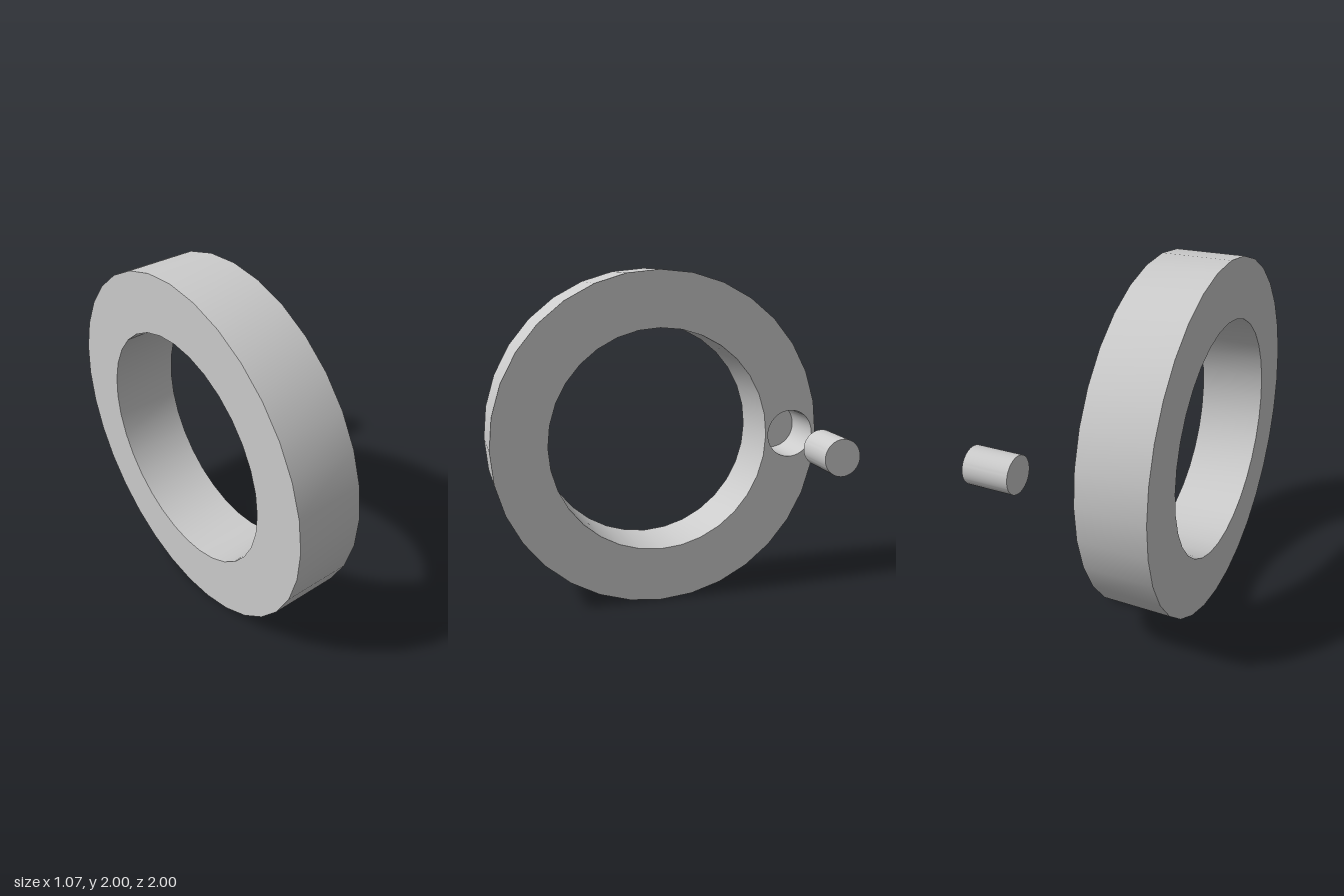
import * as THREE from 'three';
import { toCreasedNormals } from 'three/addons/utils/BufferGeometryUtils.js';

const RING = { outer: 1, inner: 0.67, back: -0.535, front: -0.155, sides: 32 };
const HOLE = { radius: 0.145, depth: 0.28, z: -0.83, sides: 64 };
const PEG = { radius: 0.105, x0: 0.26, x1: 0.53, z: -0.835, sides: 64 };

const material = new THREE.MeshStandardMaterial({ color: 0xcccccc });

function addMesh(parent, name, geometry, z = 0) {
  const mesh = new THREE.Mesh(geometry, material);
  mesh.name = name;
  mesh.position.set(0, 1, z);
  parent.add(mesh);
}

// Turns a [radius, x] profile around the x axis
function turned(profile, sides) {
  const points = profile.map(([r, x]) => new THREE.Vector2(r, x));
  const geometry = new THREE.LatheGeometry(points, sides).rotateZ(-Math.PI / 2);
  return toCreasedNormals(geometry, 0.6);
}

function circlePoints(radius, sides, cx = 0) {
  return Array.from({ length: sides }, (_, i) => {
    const a = (i / sides) * Math.PI * 2;
    return new THREE.Vector2(cx + radius * Math.cos(a), radius * Math.sin(a));
  });
}

export function createModel() {
  const model = new THREE.Group();
  model.name = 'ringAndPeg';

  const ring = new THREE.Group();
  ring.name = 'ring';
  model.add(ring);

  // Bore, plain back face and rim of the ring
  addMesh(ring, 'ringBody', turned([
    [RING.inner, RING.front], [RING.inner, RING.back],
    [RING.outer, RING.back], [RING.outer, RING.front],
  ], RING.sides));

  // Face with the opening of the blind hole
  const face = new THREE.Shape(circlePoints(RING.outer, RING.sides));
  face.holes.push(
    new THREE.Path(circlePoints(RING.inner, RING.sides)),
    new THREE.Path(circlePoints(HOLE.radius, HOLE.sides, -HOLE.z)),
  );
  addMesh(ring, 'ringFace',
    new THREE.ShapeGeometry(face).rotateY(Math.PI / 2).translate(RING.front, 0, 0));

  // Wall and floor of the blind hole
  const floor = RING.front - HOLE.depth;
  addMesh(ring, 'pegHole', turned([
    [HOLE.radius, RING.front], [HOLE.radius, floor], [0, floor],
  ], HOLE.sides), HOLE.z);

  // Loose peg in line with the hole
  addMesh(model, 'peg', turned([
    [0, PEG.x0], [PEG.radius, PEG.x0], [PEG.radius, PEG.x1], [0, PEG.x1],
  ], PEG.sides), PEG.z);

  return model;
}
